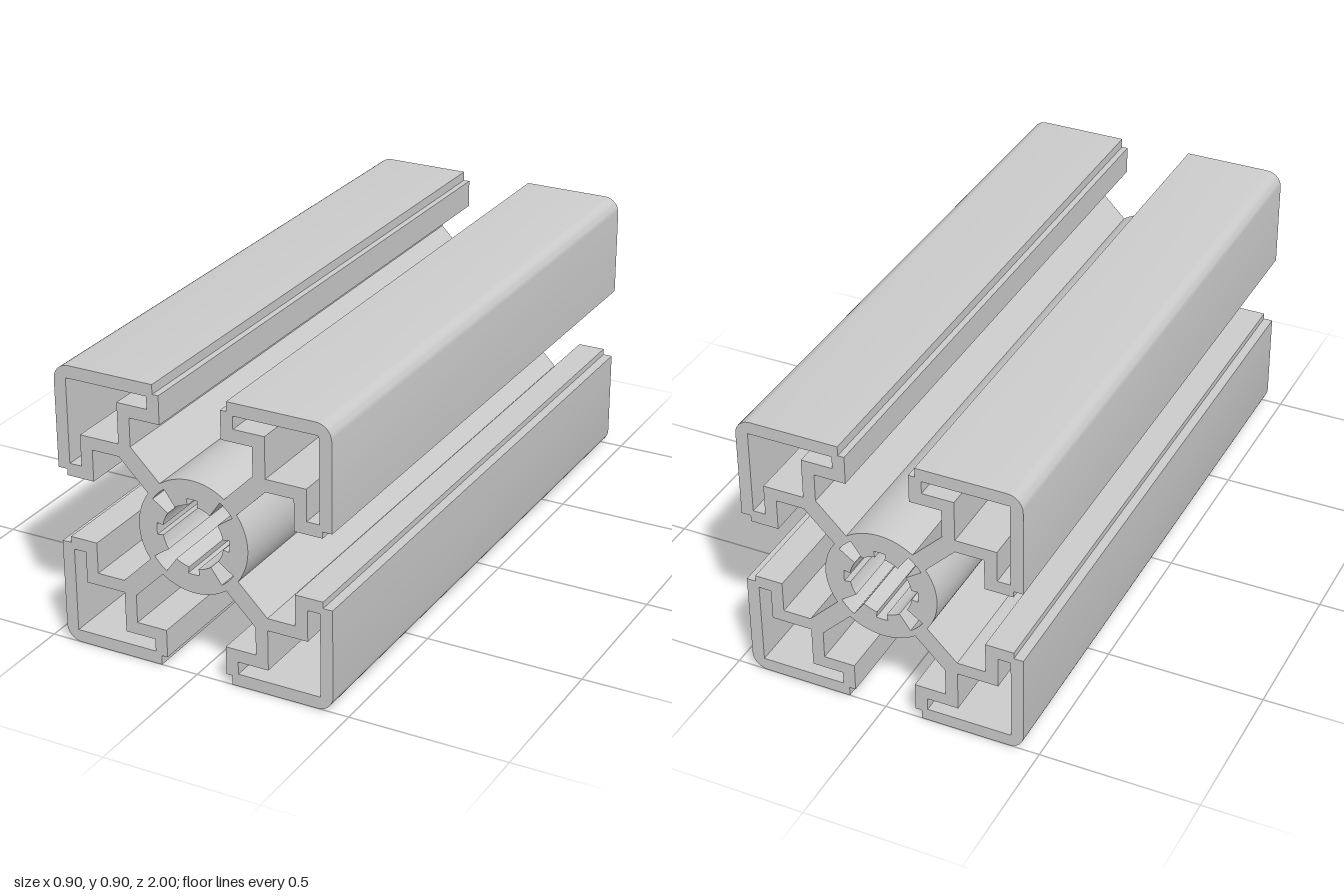
import * as THREE from 'three';
import { toCreasedNormals } from 'three/addons/utils/BufferGeometryUtils.js';

const LENGTH = 2, HALF = 0.45, CORNER = 0.05;
const HUB = 0.18, BORE = 0.10, KEYWAY = 0.12, POCKET = 0.16;
const deg = Math.PI / 180;

// Points along an arc, angles in degrees
function arc(cx, cy, r, from, to, steps) {
  return Array.from({ length: steps + 1 }, (_, i) => {
    const a = (from + (to - from) * i / steps) * deg;
    return new THREE.Vector2(cx + r * Math.cos(a), cy + r * Math.sin(a));
  });
}

const points = (...pairs) => pairs.map(([x, y]) => new THREE.Vector2(x, y));

const origin = new THREE.Vector2();
const turned = (pts, k) => pts.map(p => p.clone().rotateAround(origin, k * Math.PI / 2));

// The same run of points repeated for each quarter turn
const fourfold = pts => [0, 1, 2, 3].flatMap(k => turned(pts, k));

function createProfileShape() {
  // Outline of one quarter: hub wall, spoke, slot lip, rounded corner, slot lip
  const spokeAngle = Math.atan2(0.1057, 0.1457) / deg;
  const c = HALF - CORNER;
  const quarter = [
    ...arc(0, 0, HUB, -spokeAngle, spokeAngle, 20),
    ...points([0.24, 0.20], [0.33, 0.20], [0.33, 0.10], [0.42, 0.10], [0.42, 0.12], [HALF, 0.12]),
    ...arc(c, c, CORNER, 0, 90, 10),
    ...points([0.12, HALF], [0.12, 0.42], [0.10, 0.42], [0.10, 0.33], [0.20, 0.33], [0.20, 0.24]),
  ];
  const shape = new THREE.Shape(fourfold(quarter));

  // Hollow chamber in each corner
  const chamber = points(
    [0.14, 0.41], [0.41, 0.41], [0.41, 0.14], [0.37, 0.14],
    [0.37, 0.24], [0.24, 0.24], [0.24, 0.37], [0.14, 0.37]);
  for (let k = 0; k < 4; k++) shape.holes.push(new THREE.Path(turned(chamber, k)));

  // Centre bore with shallow keyways on the axes and deep pockets on the diagonals
  const bore = fourfold([
    ...arc(0, 0, KEYWAY, -9, 9, 4),
    ...arc(0, 0, BORE, 9, 35, 6),
    ...arc(0, 0, POCKET, 35, 55, 5),
    ...arc(0, 0, BORE, 55, 81, 6),
  ]);
  shape.holes.push(new THREE.Path(bore));
  return shape;
}

export function createModel() {
  const group = new THREE.Group();
  group.name = 'slottedProfileBar';

  const extruded = new THREE.ExtrudeGeometry(createProfileShape(), {
    depth: LENGTH, bevelEnabled: false, steps: 1,
  });
  extruded.translate(0, HALF, -LENGTH / 2);

  const bar = new THREE.Mesh(
    toCreasedNormals(extruded, 30 * deg),
    new THREE.MeshStandardMaterial({ color: 0xcccccc }));
  bar.name = 'extrudedBar';
  group.add(bar);
  return group;
}
